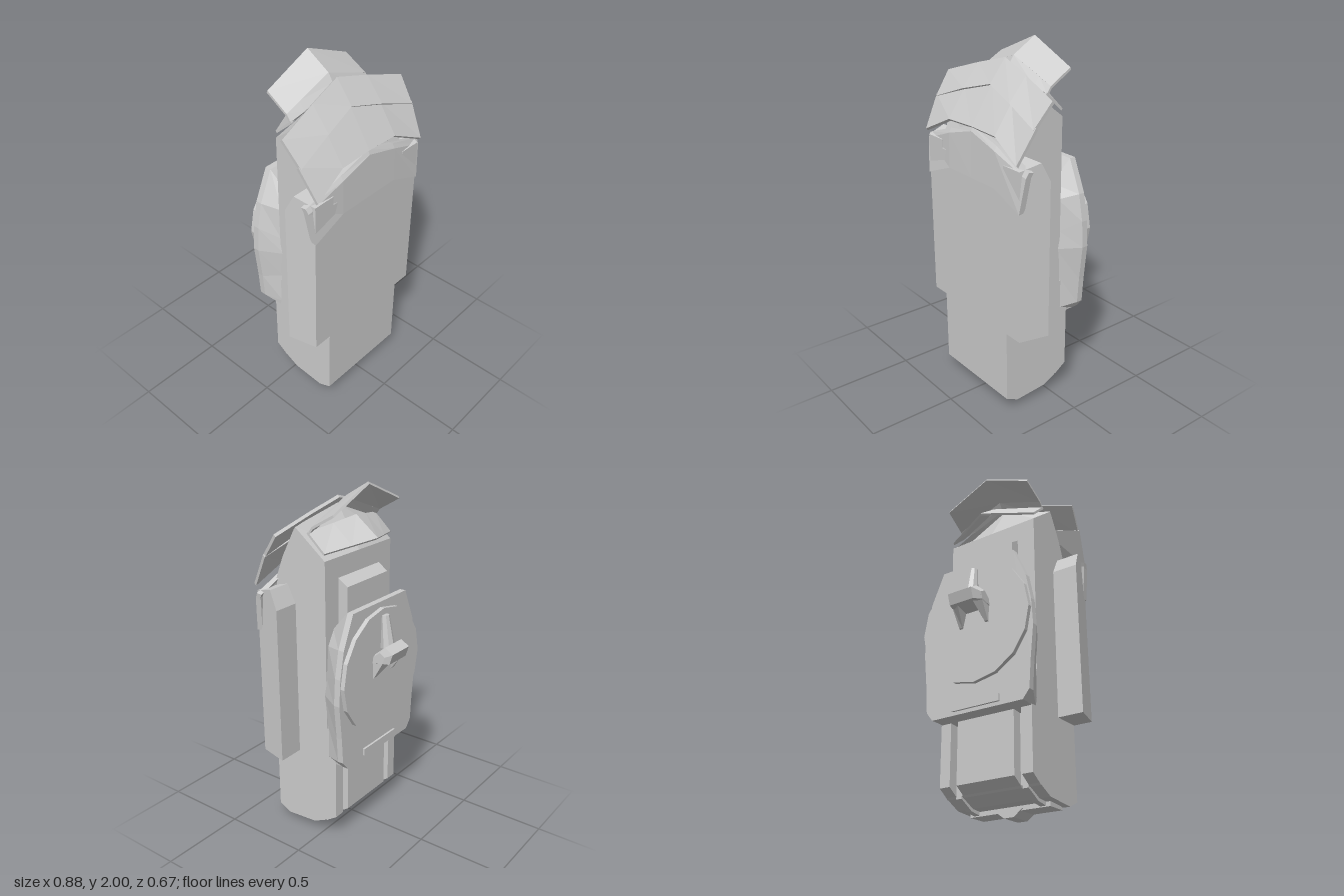
import * as THREE from 'three';

const material = new THREE.MeshStandardMaterial({ color: 0xcccccc, flatShading: true });

// Solid through closed cross-sections of equal point count, capped at both ends
function loft(sections) {
  const n = sections[0].length, pts = sections.flat(), tris = [];
  for (let s = 0; s < sections.length - 1; s++) {
    for (let i = 0; i < n; i++) {
      const a = s * n + i, b = s * n + (i + 1) % n;
      tris.push([a, b, b + n], [a, b + n, a + n]);
    }
  }
  // Caps are projected across their thinnest axis and triangulated
  const cap = (offset, flip) => {
    const loop = pts.slice(offset, offset + n);
    const spread = k => Math.max(...loop.map(p => p[k])) - Math.min(...loop.map(p => p[k]));
    const thin = [0, 1, 2].sort((a, b) => spread(a) - spread(b))[0];
    const [u, v] = [[1, 2], [2, 0], [0, 1]][thin];
    const flat = loop.map(p => new THREE.Vector2(p[u], p[v]));
    const clockwise = THREE.ShapeUtils.isClockWise(flat);
    const order = loop.map((_, i) => clockwise ? n - 1 - i : i);
    const faces = THREE.ShapeUtils.triangulateShape(order.map(i => flat[i]), []);
    for (const f of faces) {
      const t = f.map(i => order[i] + offset);
      tris.push(clockwise !== flip ? [t[2], t[1], t[0]] : t);
    }
  };
  cap(0, true);
  cap((sections.length - 1) * n, false);
  // Turn everything outward when the volume comes out negative
  let volume = 0;
  const P = i => new THREE.Vector3(...pts[i]);
  for (const [a, b, c] of tris) volume += P(a).dot(P(b).cross(P(c)));
  const corners = tris.flatMap(([a, b, c]) => volume < 0 ? [a, c, b] : [a, b, c]);
  const geometry = new THREE.BufferGeometry();
  geometry.setAttribute('position', new THREE.Float32BufferAttribute(corners.flatMap(i => pts[i]), 3));
  geometry.computeVertexNormals();
  return geometry;
}

export function createModel() {
  const model = new THREE.Group();
  const add = (name, geometry, x = 0, y = 0, z = 0) => {
    const mesh = new THREE.Mesh(geometry, material);
    mesh.name = name;
    mesh.position.set(x, y, z);
    model.add(mesh);
    return mesh;
  };
  const box = (name, w, h, d, x, y, z) => add(name, new THREE.BoxGeometry(w, h, d), x, y, z);

  // Side profile (z, y) pushed along x between two stations
  const slab = (name, profile, x0, x1) =>
    add(name, loft([x0, x1].map(x => profile.map(([z, y]) => [x, y, z]))));

  // Gabled shingle: half stations [xTop, yTop, zTop, xBottom, yBottom, zBottom] from ridge to edge
  const shingle = (name, half, dy, dz) => {
    const all = [...half.slice(1).reverse().map(([a, b, c, d, e, f]) => [-a, b, c, -d, e, f]), ...half];
    add(name, loft(all.map(([a, b, c, d, e, f]) =>
      [[a, b, c], [d, e, f], [d, e + dy, f + dz], [a, b + dy, c + dz]])));
  };

  // Main case with a low ridge on top
  const caseSection = (x, ridge) => [
    [0.315, 0.08], [0.24, 0.045], [0.05, 0.06], [-0.05, 0.11], [-0.05, 1.64],
    [0.14 - ridge * 0.05, 1.79 + ridge * 0.08], [0.23, 1.62 + ridge * 0.06], [0.315, 1.4],
  ].map(([z, y]) => [x, y, z]);
  add('case', loft([caseSection(-0.29, 0), caseSection(0, 1), caseSection(0.29, 0)]));

  // Tapered side boxes with bevelled tops
  for (const s of [-1, 1]) {
    add('sideBox', loft([[0.15, 0.44, 1.38], [0.2, 0.428, 1.48], [0.315, 0.4, 1.45]].map(([z, x, top]) =>
      [[s * 0.27, 0.5, z], [s * x, 0.5, z], [s * x, top, z], [s * 0.27, top, z]])));
  }

  // Overlapping front shingles
  shingle('upperShingle', [
    [0, 1.91, 0.09, 0, 1.785, 0.188],
    [0.2, 1.855, 0.115, 0.2, 1.73, 0.22],
    [0.44, 1.78, 0.148, 0.42, 1.65, 0.247]], -0.012, -0.012);
  shingle('middleShingle', [
    [0, 1.79, 0.175, 0, 1.585, 0.31],
    [0.2, 1.735, 0.205, 0.2, 1.58, 0.312],
    [0.428, 1.66, 0.237, 0.4, 1.485, 0.334]], -0.012, -0.012);
  shingle('lowerShingle', [
    [0, 1.56, 0.312, 0, 1.31, 0.32],
    [0.2, 1.505, 0.315, 0.2, 1.31, 0.32],
    [0.43, 1.42, 0.3, 0.405, 1.23, 0.322]], 0.005, -0.035);
  shingle('shingleLip', [
    [0, 1.585, 0.3, 0, 1.56, 0.312],
    [0.2, 1.53, 0.3, 0.2, 1.505, 0.315],
    [0.435, 1.45, 0.285, 0.43, 1.42, 0.3]], -0.005, -0.03);

  // Crest: one gabled plate rising to the back, one falling below it
  shingle('raisedCrest', [
    [0, 2, -0.105, 0, 1.915, 0.035],
    [0.285, 1.88, -0.1, 0.29, 1.805, 0.03]], -0.012, -0.006);
  shingle('crestFront', [
    [0, 1.915, 0.035, 0, 1.87, 0.065],
    [0.2, 1.84, 0.03, 0.2, 1.795, 0.065],
    [0.29, 1.805, 0.03, 0.29, 1.77, 0.055]], -0.012, -0.006);
  shingle('rearFlap', [
    [0, 1.825, -0.03, 0, 1.72, -0.168],
    [0.14, 1.8, 0.01, 0.14, 1.7, -0.11],
    [0.29, 1.775, 0.055, 0.29, 1.68, -0.05]], -0.01, 0.008);

  // Raised back panel with bevelled ends
  slab('backPanel', [[-0.04, 0.1], [-0.05, 0.11], [-0.108, 0.15], [-0.108, 1.49], [-0.05, 1.53], [-0.04, 1.53]], -0.18, 0.18);
  for (const s of [-1, 1]) {
    slab('cornerStrip', [[-0.04, 0.1], [-0.05, 0.11], [-0.108, 0.15], [-0.108, 0.7], [-0.04, 0.7]], s * 0.225, s * 0.29);
  }

  // Flared dial mount
  const ring = half => [...half, ...half.slice().reverse().map(([x, y, z]) => [-x, y, z])];
  const rimPoints = [[0.24, 1.38], [0.32, 1.2], [0.35, 1.05], [0.36, 0.9], [0.34, 0.7], [0.33, 0.55], [0.29, 0.5]];
  add('dialMount', loft([
    ring([[0.22, 1.26, -0.045], [0.27, 1.18, -0.05], [0.285, 1.0, -0.05], [0.285, 0.9, -0.03],
      [0.285, 0.73, -0.05], [0.285, 0.53, -0.05], [0.28, 0.49, -0.05]]),
    ring(rimPoints.map(([x, y]) => [x, y, -0.155])),
    ring(rimPoints.map(([x, y]) => [x, y, -0.19])),
  ]));
  const dial = add('dial', new THREE.CylinderGeometry(0.35, 0.35, 0.03, 16), 0, 1, -0.2);
  dial.rotation.x = Math.PI / 2;
  box('mountFoot', 0.3, 0.04, 0.02, 0, 0.54, -0.192);

  // Hooded bracket on the dial: tapered stem, sloping hood and two pointed legs
  const stem = add('stem', new THREE.CylinderGeometry(0.024, 0.04, 0.18, 8), 0, 1.225, -0.232);
  stem.rotation.x = 0.12;
  const hood = [[-0.215, 1.06], [-0.225, 1.12], [-0.285, 1.17], [-0.335, 1.14], [-0.315, 1.08]];
  const hoodAt = (x, k) => hood.map(([z, y]) => [x, 1.08 + (y - 1.08) * k, -0.215 + (z + 0.215) * k]);
  add('hood', loft([hoodAt(-0.102, 0.65), hoodAt(-0.065, 1), hoodAt(0.09, 1), hoodAt(0.102, 0.65)]));
  for (const s of [-1, 1]) {
    add('hoodLeg', loft([
      [[s * 0.045, 1.1, -0.21], [s * 0.1, 1.1, -0.21], [s * 0.1, 1.1, -0.29], [s * 0.045, 1.1, -0.315]],
      [[s * 0.075, 0.97, -0.21], [s * 0.095, 0.97, -0.21], [s * 0.095, 0.98, -0.222], [s * 0.075, 0.98, -0.222]],
    ]));
  }

  // Underside: base plate, rails and centre catch
  box('basePlate', 0.5, 0.025, 0.12, 0, 0.042, 0.17);
  for (const s of [-1, 1]) {
    slab('baseRail', [[0.11, 0.035], [0.11, 0.07], [-0.05, 0.13], [-0.05, 0.095], [0.04, 0.045]], s * 0.19, s * 0.225);
  }
  add('catch', loft([0.105, 0.235].map(z =>
    [[-0.085, 0.04, z], [-0.03, 0, z], [0.03, 0, z], [0.085, 0.04, z]])));

  return model;
}
